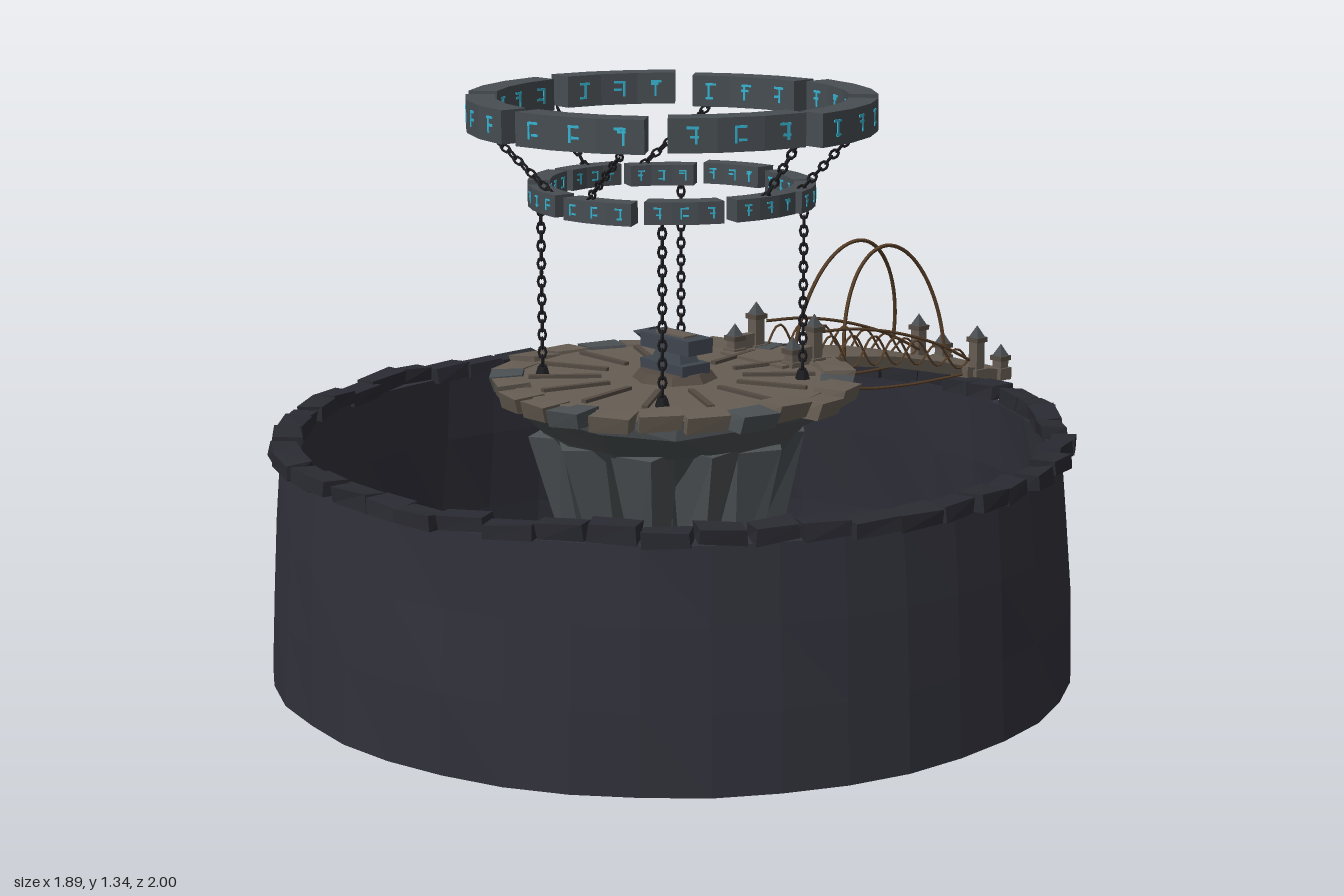
import * as THREE from 'three';
import { mergeGeometries } from 'three/addons/utils/BufferGeometryUtils.js';

const mat = (name, color, flatShading = true) => {
  const m = new THREE.MeshStandardMaterial({ color, flatShading });
  m.name = name;
  return m;
};

// Repeatable noise in -1..1
const noise = (a, b = 0, c = 0) => {
  const s = Math.sin(a * 12.99 + b * 78.23 + c * 37.72) * 4375.85;
  return (s - Math.floor(s)) * 2 - 1;
};

// Roughen a geometry; coincident corners move together
function rough(geo, amount) {
  const p = geo.attributes.position;
  for (let i = 0; i < p.count; i++) {
    const x = p.getX(i), y = p.getY(i), z = p.getZ(i);
    p.setXYZ(i, x + amount * noise(x, y, z), y + amount * noise(y, z, x), z + amount * noise(z, x, y));
  }
  geo.computeVertexNormals();
  return geo;
}

export function createModel() {
  const M = {
    wall: mat('dark wall stone', 0x30303a),
    coping: mat('coping stone', 0x2a2a32),
    rock: mat('grey rock', 0x4b5053),
    floor: mat('brown paving', 0x665d53),
    rib: mat('dark paving', 0x544b43),
    ring: mat('ring stone', 0x474d52),
    glyph: mat('cyan glow', 0x36b4d2),
    chain: mat('black iron', 0x1d1d21),
    rail: mat('bronze', 0x573f29),
    anvil: mat('blue steel', 0x40464f),
  };
  const model = new THREE.Group();
  const centre = new THREE.Group(); // everything round shares this axis
  centre.name = 'well';
  centre.position.z = 0.05;
  model.add(centre);
  const add = (parent, name, geo, material, x = 0, y = 0, z = 0) => {
    const m = new THREE.Mesh(geo, material);
    m.name = name;
    m.position.set(x, y, z);
    parent.add(m);
    return m;
  };
  const V2 = (pts) => pts.map(([x, y]) => new THREE.Vector2(x, y));

  // Open round wall
  const wallProfile = V2([[0.93, 0], [0.945, 0], [0.937, 0.18], [0.925, 0.36], [0.91, 0.53],
    [0.875, 0.53], [0.89, 0.36], [0.92, 0.15], [0.93, 0]]);
  const wallGeo = new THREE.LatheGeometry(wallProfile, 40);
  const wp = wallGeo.attributes.position;
  for (let i = 0; i < wp.count; i++) {
    const x = wp.getX(i), y = wp.getY(i), z = wp.getZ(i);
    const k = 1 + 0.005 * noise(x, y, z);
    wp.setXYZ(i, x * k, y, z * k);
  }
  add(centre, 'wall', wallGeo, M.wall);

  // Uneven coping blocks
  const blocks = 52;
  for (let i = 0; i < blocks; i++) {
    const a = (i / blocks) * Math.PI * 2, r = 0.897 + 0.012 * noise(i, 1);
    const g = rough(new THREE.BoxGeometry(0.105 + 0.012 * noise(i, 2), 0.035, 0.06), 0.004);
    const b = add(centre, 'copingBlock', g, M.coping, r * Math.sin(a), 0.547 + 0.008 * noise(i, 3), r * Math.cos(a));
    b.rotation.set(0.08 * noise(i, 4), a + 0.12 * noise(i, 5), 0.08 * noise(i, 6), 'YXZ');
  }

  // Floating island: rock body with hanging boulders
  const body = V2([[0, 0.05], [0.03, 0.08], [0.1, 0.21], [0.19, 0.38], [0.31, 0.565], [0.385, 0.625], [0.4, 0.665], [0, 0.665]]);
  add(centre, 'islandRock', rough(new THREE.LatheGeometry(body, 14), 0.012), M.rock);
  for (let i = 0; i < 12; i++) {
    const a = (i / 12) * Math.PI * 2 + 0.1, h = 0.27 + 0.07 * noise(i, 7);
    const g = rough(new THREE.CylinderGeometry(0.085, 0.045, h, 5), 0.012);
    const b = add(centre, 'hangingBoulder', g, M.rock, 0.235 * Math.sin(a), 0.575 - h / 2, 0.235 * Math.cos(a));
    b.rotation.set(0.12, a + noise(i, 8) * 0.3, 0.1 * noise(i, 9), 'YXZ');
  }

  // Paved floor, rim slabs and radial ribs
  add(centre, 'floor', new THREE.CylinderGeometry(0.38, 0.39, 0.03, 24), M.floor, 0, 0.663);
  for (let i = 0; i < 24; i++) {
    const a = (i / 24) * Math.PI * 2, r = 0.385 + 0.012 * noise(i, 10);
    const g = rough(new THREE.BoxGeometry(0.1, 0.035, 0.075), 0.006);
    const s = add(centre, 'rimSlab', g, i % 4 === 1 ? M.rock : M.floor, r * Math.sin(a), 0.663 + 0.006 * noise(i, 11), r * Math.cos(a));
    s.rotation.set(0.08, a + 0.15 * noise(i, 12), 0.06 * noise(i, 13), 'YXZ');
  }
  for (let i = 0; i < 14; i++) {
    const a = ((i + 0.5) / 14) * Math.PI * 2;
    const s = add(centre, 'floorRib', new THREE.BoxGeometry(0.014, 0.012, 0.17), M.rib, 0.25 * Math.sin(a), 0.68, 0.25 * Math.cos(a));
    s.rotation.y = a;
  }

  // Anvil on a plinth
  const anvil = new THREE.Group();
  anvil.name = 'anvil';
  anvil.position.x = 0.01;
  centre.add(anvil);
  add(anvil, 'plinth', new THREE.CylinderGeometry(0.085, 0.1, 0.02, 8), M.rib, 0, 0.688);
  add(anvil, 'foot', new THREE.BoxGeometry(0.15, 0.025, 0.085), M.anvil, 0, 0.708);
  add(anvil, 'waist', new THREE.CylinderGeometry(0.04, 0.055, 0.03, 4, 1).rotateY(Math.PI / 4).scale(1.4, 1, 0.75), M.anvil, 0, 0.733);
  add(anvil, 'face', new THREE.BoxGeometry(0.17, 0.035, 0.075), M.anvil, 0.005, 0.764);
  add(anvil, 'facePlate', new THREE.BoxGeometry(0.1, 0.006, 0.04), M.floor, 0.005, 0.783);
  add(anvil, 'horn', new THREE.ConeGeometry(0.024, 0.075, 6).rotateZ(Math.PI / 2), M.anvil, -0.115, 0.766);

  // Floating broken rings with glowing abstract marks
  function floatingRing(name, count, ro, ri, y, h, sweep) {
    const ring = new THREE.Group();
    ring.name = name;
    ring.position.y = y;
    centre.add(ring);
    const n = 3, pts = [];
    const at = (r, k) => [r * Math.sin((k / n - 0.5) * sweep), -r * Math.cos((k / n - 0.5) * sweep)];
    for (let k = 0; k <= n; k++) pts.push(at(ro, k));
    for (let k = n; k >= 0; k--) pts.push(at(ri, k));
    const geo = new THREE.ExtrudeGeometry(new THREE.Shape(V2(pts)), { depth: h, bevelEnabled: false }).rotateX(-Math.PI / 2);
    const flat = Math.cos(sweep / n / 2);
    for (let i = 0; i < count; i++) {
      const seg = new THREE.Group();
      seg.name = name + 'Segment';
      seg.rotation.y = ((i + 0.5) / count) * Math.PI * 2;
      seg.position.y = 0.004 * noise(i, count);
      ring.add(seg);
      add(seg, 'stone', geo, M.ring);
      const strokes = [];
      for (let k = 0; k < n; k++) {
        for (const r of [ro * flat, ri * flat]) {
          const s = h * 0.5, t = h * 0.075;
          const bars = [[t, s, s * 0.35 * noise(i, k), 0], [s * 0.7, t, 0, s * 0.45], [s * 0.5, t, s * 0.1, s * 0.4 * noise(k, i, r) - 0.1 * s]];
          for (const [w, b, x, v] of bars) {
            strokes.push(new THREE.BoxGeometry(w, b, 0.004).translate(x, h / 2 + v, r).rotateY(((k + 0.5) / n - 0.5) * sweep));
          }
        }
      }
      add(seg, 'glowMarks', mergeGeometries(strokes), M.glyph);
    }
  }
  floatingRing('upperRing', 8, 0.472, 0.405, 1.265, 0.075, 0.68);
  floatingRing('lowerRing', 10, 0.332, 0.28, 1.09, 0.05, 0.54);

  // Chains made of alternating links
  function chain(a, b) {
    const A = new THREE.Vector3(...a), B = new THREE.Vector3(...b);
    const d = B.clone().sub(A), n = Math.round(d.length() / 0.021);
    const q = new THREE.Quaternion().setFromUnitVectors(new THREE.Vector3(0, 1, 0), d.clone().normalize());
    const links = [];
    for (let i = 0; i < n; i++) {
      const p = A.clone().lerp(B, (i + 0.5) / n);
      links.push(new THREE.TorusGeometry(0.0085, 0.0032, 4, 8).scale(1, 1.5, 1)
        .rotateY((i % 2) * Math.PI / 2 + Math.PI / 4).applyQuaternion(q).translate(p.x, p.y, p.z));
    }
    add(centre, 'chain', mergeGeometries(links), M.chain);
  }
  for (const s of [-1, 1]) {
    for (const t of [-1, 1]) {
      chain([s * 0.215, 0.68, t * 0.215], [s * 0.215, 1.1, t * 0.215]);
      add(centre, 'chainAnchor', new THREE.CylinderGeometry(0.012, 0.018, 0.02, 6), M.chain, s * 0.215, 0.688, t * 0.215);
    }
    chain([s * 0.42, 1.27, 0], [s * 0.31, 1.13, 0]);
    chain([s * 0.25, 1.27, 0.35], [s * 0.06, 1.13, 0.3]);
    chain([s * 0.26, 1.27, -0.36], [s * 0.275, 1.13, -0.14]);
  }

  // Bridge: side profiles of [distance back, height] extruded across the width
  const bridge = new THREE.Group();
  bridge.name = 'bridge';
  model.add(bridge);
  const slab = (name, pts, width) => add(bridge, name,
    new THREE.ExtrudeGeometry(new THREE.Shape(V2(pts)), { depth: width, bevelEnabled: false })
      .rotateY(Math.PI / 2).translate(-width / 2, 0, 0), M.floor);
  slab('deck', [[0.3, 0.66], [0.45, 0.645], [0.6, 0.62], [0.75, 0.585], [0.88, 0.555],
    [0.88, 0.58], [0.75, 0.615], [0.6, 0.648], [0.45, 0.67], [0.3, 0.685]], 0.18);
  slab('islandLanding', [[0.2, 0.65], [0.36, 0.65], [0.36, 0.685], [0.2, 0.685]], 0.22);
  slab('outerLanding', [[0.84, 0.55], [1, 0.535], [1, 0.56], [0.84, 0.59]], 0.22);

  const tube = (name, pts, r) => add(bridge, name, new THREE.TubeGeometry(
    new THREE.CatmullRomCurve3(pts.map((p) => new THREE.Vector3(...p))), 48, r, 5), M.rail);
  for (const s of [-1, 1]) {
    // Gate posts with pointed caps: [z, base height, post height]
    for (const [z, y, h] of [[-0.24, 0.66, 0.055], [-0.31, 0.66, 0.1], [-0.88, 0.55, 0.105], [-0.97, 0.54, 0.055]]) {
      const post = new THREE.Group();
      post.name = 'gatePost';
      post.position.set(s * 0.102, y, z);
      bridge.add(post);
      add(post, 'base', new THREE.BoxGeometry(0.04, 0.03, 0.04), M.floor, 0, 0.015);
      add(post, 'shaft', new THREE.BoxGeometry(0.028, h, 0.028), M.floor, 0, h / 2);
      add(post, 'collar', new THREE.BoxGeometry(0.038, 0.012, 0.038), M.rib, 0, h);
      add(post, 'cap', new THREE.ConeGeometry(0.022, 0.032, 4).rotateY(Math.PI / 4), M.rock, 0, h + 0.02);
    }
    // Solid parapets beside the island steps
    add(bridge, 'parapet', new THREE.BoxGeometry(0.02, 0.06, 0.08), M.floor, s * 0.102, 0.69, -0.275);

    // Rails, wavy lattice and leaning arch
    const x = s * 0.09;
    tube('handRail', [[x, 0.747, -0.33], [x, 0.738, -0.45], [x, 0.708, -0.6], [x, 0.658, -0.75], [x, 0.6, -0.87]], 0.004);
    tube('lowerRail', [[x, 0.64, -0.32], [x, 0.592, -0.45], [x, 0.572, -0.62], [x, 0.568, -0.85]], 0.004);
    for (const t of [-1, 1]) {
      const wave = [];
      for (let i = 0; i <= 40; i++) {
        const u = i / 40;
        wave.push([x, 0.69 - 0.02 * u - 0.07 * u * u + t * (0.045 - 0.022 * u) * Math.sin(u * Math.PI * 7), -0.34 - 0.52 * u]);
      }
      tube('lattice', wave, 0.003);
    }
    const arch = [];
    for (let i = 0; i <= 12; i++) {
      const a = (i / 12) * Math.PI, k = Math.sin(a);
      arch.push([s * (0.09 - 0.04 * k), 0.64 + 0.28 * k, -0.6 + 0.175 * Math.cos(a)]);
    }
    tube('arch', arch, 0.005);
  }
  return model;
}
